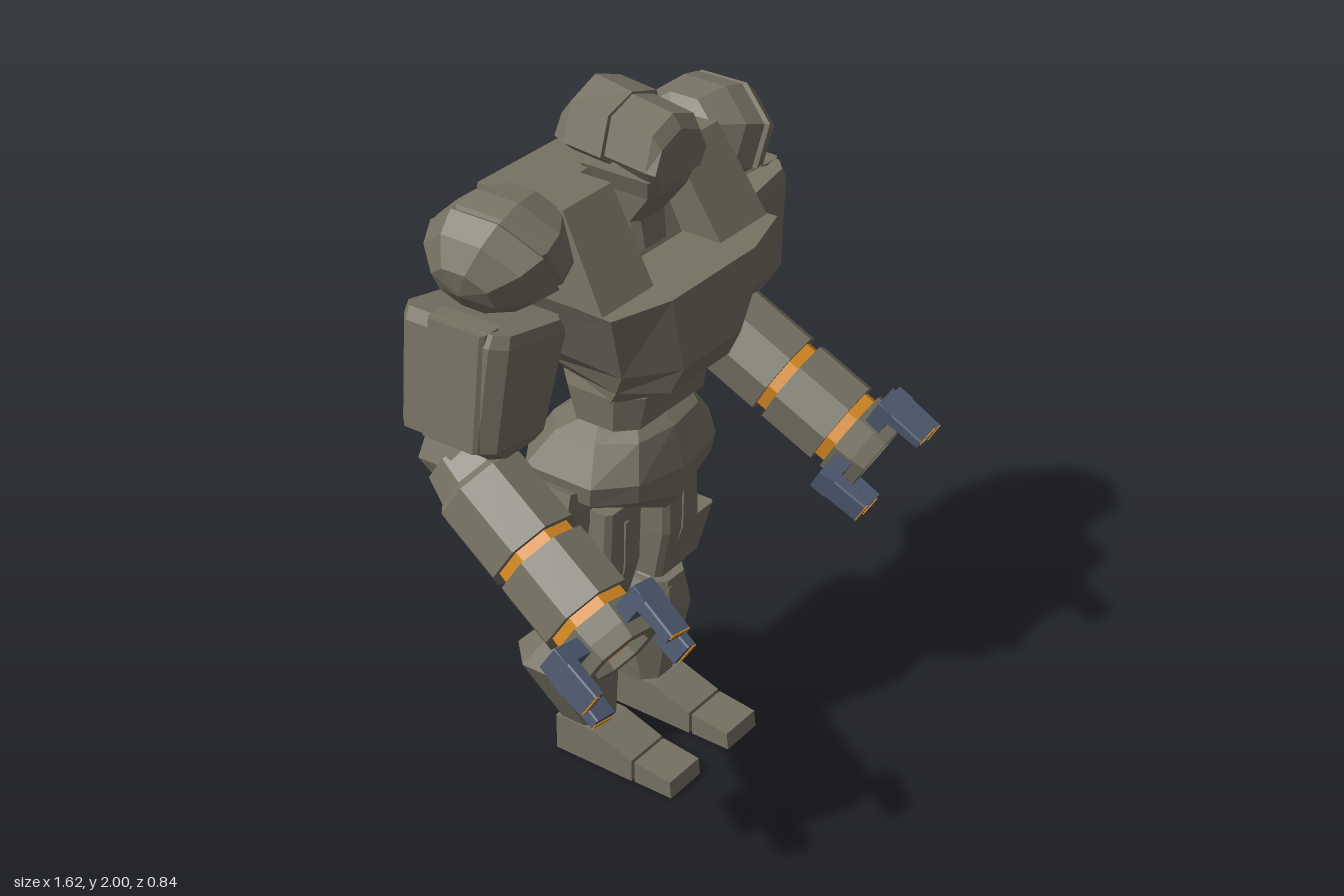
import * as THREE from 'three';

const paint = (name, color) => {
  const m = new THREE.MeshStandardMaterial({ color });
  m.name = name;
  return m;
};

// Unshared vertices with one normal per face
function flat(geo) {
  const g = geo.index ? geo.toNonIndexed() : geo;
  g.deleteAttribute('normal');
  g.deleteAttribute('uv');
  g.computeVertexNormals();
  return g;
}

// Mirrored copy across x = 0 with the corner order restored
function mirrored(geo) {
  const g = geo.clone();
  const p = g.attributes.position;
  for (let i = 0; i < p.count; i += 3) {
    const v = [0, 2, 1].map((k) => new THREE.Vector3().fromBufferAttribute(geo.attributes.position, i + k));
    v.forEach((q, k) => p.setXYZ(i + k, -q.x, q.y, q.z));
  }
  return flat(g);
}

// Capped skin over matching loops of [x, y, z] points, turned outward
function loft(loops) {
  const tris = [];
  const n = loops[0].length;
  const mid = (l) => [0, 1, 2].map((k) => l.reduce((s, p) => s + p[k], 0) / n);
  const first = loops[0], last = loops[loops.length - 1];
  const c0 = mid(first), c1 = mid(last);
  for (let i = 0; i < n; i++) {
    const j = (i + 1) % n;
    for (let s = 0; s < loops.length - 1; s++) {
      const a = loops[s], b = loops[s + 1];
      tris.push([a[i], a[j], b[j]], [a[i], b[j], b[i]]);
    }
    tris.push([c0, first[j], first[i]], [c1, last[i], last[j]]);
  }
  const V = (p) => new THREE.Vector3(...p);
  const volume = tris.reduce((s, [a, b, c]) => s + V(a).dot(V(b).cross(V(c))), 0);
  const data = tris.flatMap(([a, b, c]) => (volume < 0 ? [a, c, b] : [a, b, c])).flat();
  const g = new THREE.BufferGeometry();
  g.setAttribute('position', new THREE.Float32BufferAttribute(data, 3));
  return flat(g);
}

// Chamfered rectangle at height y: x range, z range, chamfer
const ring = (y, x0, x1, z0, z1, c) => [
  [x0 + c, y, z1], [x1 - c, y, z1], [x1, y, z1 - c], [x1, y, z0 + c],
  [x1 - c, y, z0], [x0 + c, y, z0], [x0, y, z0 + c], [x0, y, z1 - c]];

// Side outline of [z, y] points stretched between two x positions
const slab = (outline, x0, x1) => loft([x0, x1].map((x) => outline.map(([z, y]) => [x, y, z])));

const box = (w, h, d, x, y, z, rz = 0) =>
  flat(new THREE.BoxGeometry(w, h, d).rotateZ(rz).translate(x, y, z));

const turned = (profile, sides) => flat(new THREE.LatheGeometry(
  profile.map(([r, y]) => new THREE.Vector2(r, y)), sides, Math.PI / sides));

export function createModel() {
  const model = new THREE.Group();
  model.name = 'robot';
  const grey = paint('stone grey', 0x767263);
  const blue = paint('steel blue', 0x4f5a70);
  const orange = paint('signal orange', 0xd88a22);

  const add = (name, geo, mat = grey) => {
    const m = new THREE.Mesh(geo, mat);
    m.name = name;
    model.add(m);
  };
  const pair = (name, geo, mat = grey) => {
    add('left' + name, geo, mat);
    add('right' + name, mirrored(geo), mat);
  };

  // Torso: tapering chest, split upper chest around the neck recess, waist
  const chest = (y, front, zf, side, zs, back, zb) => [
    [-front, y, zf], [front, y, zf], [side, y, zs], [back, y, zb], [-back, y, zb], [-side, y, zs]];
  add('chest', loft([
    chest(1.2, 0.13, -0.03, 0.2, -0.08, 0.13, -0.27),
    chest(1.245, 0.13, 0.06, 0.215, -0.05, 0.16, -0.31),
    chest(1.325, 0.125, 0.1, 0.255, 0.0, 0.23, -0.38),
    chest(1.55, 0.18, 0.105, 0.36, 0.05, 0.34, -0.395)]));
  const outer = [[0.02, 1.55], [-0.12, 1.79], [-0.39, 1.79], [-0.395, 1.55]];
  pair('UpperChest', loft([
    outer.map(([z, y]) => [y > 1.6 ? 0.13 : 0.145, y, z]),
    outer.map(([z, y]) => [y > 1.6 ? 0.325 : 0.355, y, z])]));
  add('neckRecess', slab([[-0.1, 1.55], [-0.22, 1.79], [-0.39, 1.79], [-0.395, 1.55]], -0.14, 0.14));
  add('waist', loft([
    ring(1.11, -0.19, 0.19, -0.25, -0.03, 0.05),
    ring(1.21, -0.2, 0.2, -0.28, -0.01, 0.06)]));

  // Head: neck and jaw, faceted visor, raised rear crown
  add('neck', loft([
    ring(1.58, -0.065, 0.065, -0.24, -0.08, 0.02),
    ring(1.66, -0.07, 0.07, -0.25, -0.09, 0.02),
    ring(1.745, -0.08, 0.08, -0.26, -0.025, 0.02),
    ring(1.8, -0.1, 0.1, -0.26, -0.01, 0.02)]));
  const helm = (z, s, bottom, side, brow, top) => [
    [-0.1 * s, bottom, z], [0.1 * s, bottom, z], [0.135 * s, side, z], [0.1 * s, brow, z],
    [0, top, z], [-0.1 * s, brow, z], [-0.135 * s, side, z]];
  add('visor', loft([
    helm(0, 0.8, 1.79, 1.83, 1.89, 1.92), helm(-0.025, 0.86, 1.79, 1.835, 1.925, 1.955),
    helm(-0.155, 0.88, 1.825, 1.85, 1.945, 1.975)]));
  add('crown', loft([
    helm(-0.15, 1, 1.82, 1.85, 1.95, 1.98), helm(-0.265, 1, 1.83, 1.86, 1.963, 2.0),
    helm(-0.305, 0.9, 1.845, 1.865, 1.915, 1.94)]));

  // Shoulders: faceted domes tilted outward, slightly squat, over a rear joint
  const shoulder = turned([[0, -0.17], [0.11, -0.16], [0.165, -0.08], [0.178, -0.01], [0.168, 0],
    [0.182, 0.01], [0.155, 0.08], [0.09, 0.145], [0, 0.165]], 8);
  shoulder.rotateZ(-2.0).scale(1, 0.86, 1.06).translate(0.44, 1.69, -0.237);
  pair('Shoulder', flat(shoulder));
  pair('ShoulderJoint', flat(new THREE.IcosahedronGeometry(0.135, 1).translate(0.38, 1.66, -0.287)));

  // Upper arms leaning outward, with a raised outer plate
  const lean = (loop, k) => loop.map(([x, y, z]) => [x, y + k * (x - 0.48), z]);
  pair('UpperArm', loft([
    ring(1.195, 0.42, 0.59, -0.4, -0.13, 0.03),
    lean(ring(1.23, 0.4, 0.655, -0.415, -0.11, 0.035), 0.1),
    lean(ring(1.51, 0.34, 0.628, -0.415, -0.08, 0.035), 0.2),
    lean(ring(1.545, 0.36, 0.61, -0.41, -0.085, 0.03), 0.2)]));
  pair('UpperArmPlate', loft([
    ring(1.25, 0.6, 0.666, -0.32, -0.14, 0.01), ring(1.57, 0.56, 0.632, -0.31, -0.13, 0.01)]));
  pair('Elbow', flat(new THREE.IcosahedronGeometry(0.11, 0).translate(0.52, 1.135, -0.32)));

  // Forearm cannons, built along y and then aimed forward and down
  const start = new THREE.Vector3(0.527, 1.1, -0.3);
  const tip = new THREE.Vector3(0.594, 0.77, 0.25);
  const L = start.distanceTo(tip);
  const aim = tip.clone().sub(start).normalize();
  const up = new THREE.Vector3(-0.17, 1, 0);
  up.addScaledVector(aim, -up.dot(aim)).normalize();
  const frame = new THREE.Matrix4().makeBasis(aim.clone().cross(up), aim, up).setPosition(start);
  const place = (geo) => flat(geo.applyMatrix4(frame));
  pair('Forearm', place(turned([[0, -0.02], [0.1, -0.02], [0.118, 0.06], [0.136, 0.08], [0.136, 0.293], [0.112, 0.293],
    [0.112, 0.327], [0.136, 0.327], [0.136, 0.508], [0.112, 0.508], [0.112, 0.542], [0.136, 0.542],
    [0.13, 0.6], [0.12, L], [0.088, L], [0.08, L - 0.03], [0, L - 0.03]], 8)));
  // Glowing bands sunk into the grooves
  for (const y of [0.31, 0.525]) {
    pair('ForearmBand', place(turned([[0.116, y - 0.017], [0.116, y + 0.017]], 8)), orange);
  }
  pair('MuzzleCore', place(turned([[0.08, L - 0.028], [0, L - 0.022]], 8)), orange);

  // Four hooked claws around each muzzle, with bright tip edges
  for (let k = 0; k < 4; k++) {
    const spin = (g) => place(g.rotateY(k * Math.PI / 2));
    pair('ClawArm', spin(box(0.08, 0.05, 0.11, 0, L - 0.06, 0.155)), blue);
    pair('ClawProng', spin(loft([
      ring(L - 0.085, -0.04, 0.04, 0.166, 0.212, 0.004),
      ring(L + 0.072, -0.038, 0.038, 0.17, 0.205, 0.004)])), blue);
    pair('ClawTip', spin(box(0.07, 0.005, 0.014, 0, L + 0.073, 0.197)), orange);
  }

  // Pelvis with a pointed front and hip plates
  const hips = (y, tipY, w, zf, zb) => [
    [0, tipY, zf + 0.02], [w * 0.65, y, zf], [w, y, zf - 0.09], [w, y, zb + 0.07], [w * 0.6, y, zb],
    [-w * 0.6, y, zb], [-w, y, zb + 0.07], [-w, y, zf - 0.09], [-w * 0.65, y, zf]];
  add('pelvis', loft([
    hips(0.85, 0.79, 0.2, -0.07, -0.33), hips(0.9, 0.85, 0.255, -0.02, -0.37),
    hips(0.96, 0.94, 0.265, -0.01, -0.39), hips(1.06, 1.06, 0.205, -0.04, -0.33), hips(1.09, 1.085, 0.15, -0.07, -0.28)]));
  pair('HipPlate', box(0.11, 0.13, 0.18, 0.25, 0.86, -0.24, 0.28));

  // Legs: thigh, side guard, knee, shin, foot and toe
  pair('Thigh', loft([
    ring(0.485, 0.07, 0.21, -0.275, -0.13, 0.015),
    ring(0.65, 0.055, 0.215, -0.28, -0.09, 0.015),
    ring(0.85, 0.05, 0.205, -0.29, -0.085, 0.015)]));
  pair('ThighRib', slab([[-0.13, 0.51], [-0.085, 0.65], [-0.08, 0.8], [-0.12, 0.8]], 0.125, 0.14));
  pair('ThighGuard', loft([
    ring(0.49, 0.19, 0.265, -0.27, -0.13, 0.01),
    ring(0.65, 0.19, 0.285, -0.278, -0.092, 0.01)]));
  pair('Knee', loft([
    ring(0.42, 0.1, 0.225, -0.28, -0.15, 0.03),
    ring(0.455, 0.125, 0.2, -0.25, -0.18, 0.02),
    ring(0.49, 0.1, 0.22, -0.285, -0.15, 0.03)]));
  pair('Shin', loft([
    ring(0.11, 0.065, 0.2, -0.3, -0.155, 0.035),
    ring(0.33, 0.035, 0.305, -0.4, -0.13, 0.08),
    ring(0.44, 0.09, 0.245, -0.29, -0.14, 0.04)]));
  pair('ShinRib', slab([[-0.16, 0.13], [-0.125, 0.33], [-0.135, 0.42], [-0.17, 0.42]], 0.125, 0.14));
  pair('Foot', slab([[-0.285, 0], [-0.285, 0.115], [-0.15, 0.115], [-0.02, 0.07], [-0.02, 0]], 0.065, 0.208));
  pair('Toe', slab([[-0.012, 0], [-0.012, 0.068], [0.11, 0.052], [0.115, 0]], 0.068, 0.205));
  return model;
}
